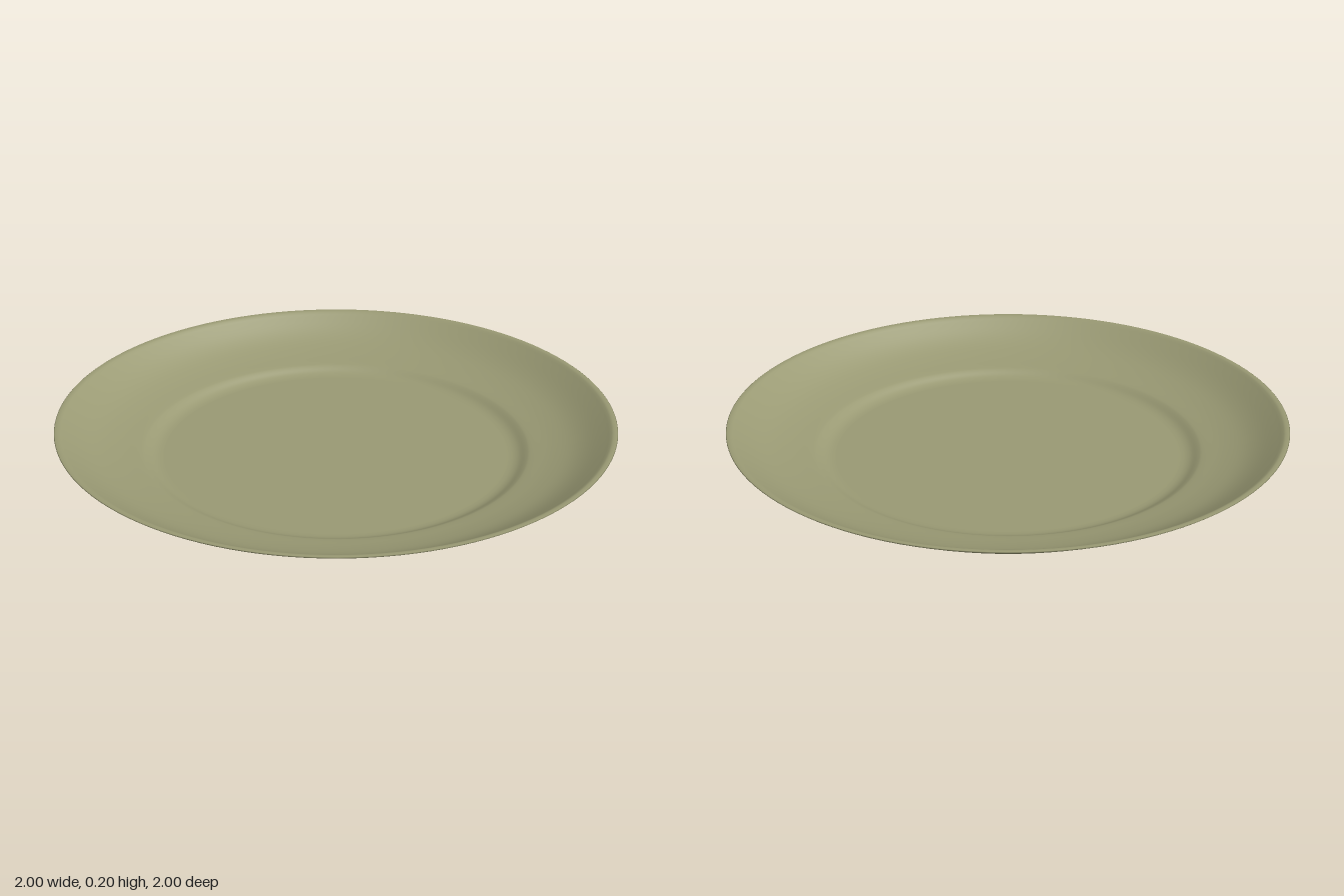
import * as THREE from 'three';

const toVectors = (pts) => pts.map(([r, y]) => new THREE.Vector2(r, y));
const smooth = (pts, n) => new THREE.SplineCurve(toVectors(pts)).getPoints(n);

export function createModel() {
  const group = new THREE.Group();
  group.name = 'plate';

  // Underside and foot ring, from the centre outwards
  const foot = toVectors([
    [0, 0], [0.28, 0.001], [0.6, 0.007], [0.635, 0.008], [0.655, 0.012],
    [0.663, 0.018], [0.665, 0.026], [0.665, 0.056], [0.666, 0.061],
  ]);
  // Outer wall sweeping up to the rim
  const outerWall = smooth([
    [0.67, 0.063], [0.76, 0.084], [0.84, 0.108], [0.91, 0.145], [0.995, 0.194],
  ], 20);
  // Thin rounded lip
  const lip = toVectors([[1, 0.198], [0.997, 0.2], [0.985, 0.2], [0.977, 0.197]]);
  // Inner wall falling to the soft step around the flat floor
  const innerWall = smooth([
    [0.968, 0.191], [0.9, 0.15], [0.84, 0.123], [0.77, 0.104], [0.705, 0.092],
    [0.685, 0.086], [0.66, 0.073], [0.64, 0.067], [0.62, 0.065],
  ], 32);
  const floor = toVectors([[0.6, 0.065], [0, 0.065]]);

  const profile = [...foot, ...outerWall, ...lip, ...innerWall, ...floor];
  const dish = new THREE.Mesh(
    new THREE.LatheGeometry(profile, 128),
    new THREE.MeshStandardMaterial({ color: 0x9a9a74 }),
  );
  dish.name = 'dish';
  group.add(dish);
  return group;
}
